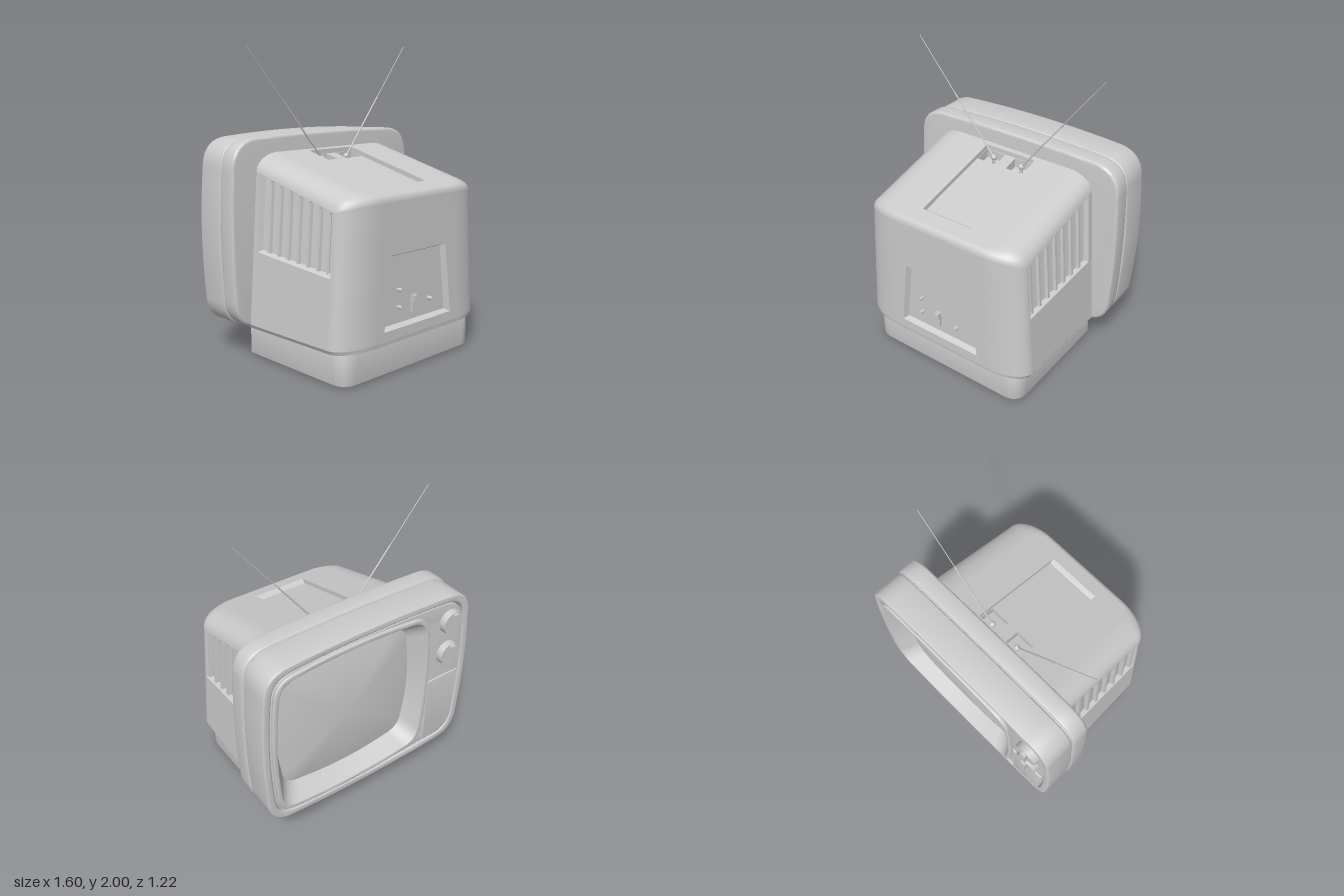
import * as THREE from 'three';
import { toCreasedNormals } from 'three/addons/utils/BufferGeometryUtils.js';

const grey = new THREE.MeshStandardMaterial({ color: 0xcccccc, side: THREE.DoubleSide });
const V2 = (x, y) => new THREE.Vector2(x, y);
const lerp = THREE.MathUtils.lerp;

export function createModel() {
  const model = new THREE.Group();
  const add = (name, geo, parent = model) => {
    const mesh = new THREE.Mesh(geo, grey);
    mesh.name = name;
    parent.add(mesh);
    return mesh;
  };

  // Surface through rows of [x, y, z] points
  function loft(rows, closed = false) {
    const n = rows[0].length, index = [];
    for (let r = 0; r < rows.length - 1; r++) {
      for (let i = 0; i < (closed ? n : n - 1); i++) {
        const a = r * n + i, b = r * n + (i + 1) % n;
        index.push(a, b, a + n, b, b + n, a + n);
      }
    }
    const geo = new THREE.BufferGeometry();
    geo.setAttribute('position', new THREE.Float32BufferAttribute(rows.flat(2), 3));
    geo.setIndex(index);
    return toCreasedNormals(geo, 0.6);
  }

  // Flat panel with sunken recesses; map(u, v, depth) places it in space
  function panel(name, outline, recesses, map, parent) {
    const shape = new THREE.Shape(outline.map(p => V2(...p)));
    for (const r of recesses) shape.holes.push(new THREE.Path(r.outer.map(p => V2(...p))));
    const geo = new THREE.ShapeGeometry(shape), pos = geo.attributes.position;
    for (let i = 0; i < pos.count; i++) pos.setXYZ(i, ...map(pos.getX(i), pos.getY(i), 0));
    geo.computeVertexNormals();
    add(name, geo, parent);
    for (const r of recesses) {
      const inner = r.inner ?? r.outer;
      add(r.name + 'Walls', loft([r.outer.map(p => map(...p, 0)), inner.map(p => map(...p, r.depth))], true), parent);
      panel(r.name + 'Floor', inner, r.holes ?? [], (u, v, d) => map(u, v, d + r.depth), parent);
    }
  }
  const rect = (x0, x1, y0, y1) => [[x0, y0], [x1, y0], [x1, y1], [x0, y1]];

  // Rounded rectangle whose sides bow outward by b
  function bowed(x0, x1, y0, y1, r, b) {
    const cx = (x0 + x1) / 2, cy = (y0 + y1) / 2, s = new THREE.Shape();
    s.moveTo(x1 - b, y0 + r);
    s.quadraticCurveTo(x1 + b, cy, x1 - b, y1 - r);
    s.quadraticCurveTo(x1 - b * 1.2, y1 - b * 1.2, x1 - r, y1 - b);
    s.quadraticCurveTo(cx, y1 + b, x0 + r, y1 - b);
    s.quadraticCurveTo(x0 + b * 1.2, y1 - b * 1.2, x0 + b, y1 - r);
    s.quadraticCurveTo(x0 - b, cy, x0 + b, y0 + r);
    s.quadraticCurveTo(x0 + b * 1.2, y0 + b * 1.2, x0 + r, y0 + b);
    s.quadraticCurveTo(cx, y0 - b, x1 - r, y0 + b);
    s.quadraticCurveTo(x1 - b * 1.2, y0 + b * 1.2, x1 - b, y0 + r);
    return s;
  }
  function slab(name, shape, z0, z1, bevel = 0, hole) {
    if (hole) shape.holes.push(hole);
    const geo = new THREE.ExtrudeGeometry(shape, {
      depth: z1 - z0 - 2 * bevel, bevelEnabled: bevel > 0, bevelSize: bevel, bevelThickness: bevel,
      bevelOffset: -bevel, bevelSegments: 3, curveSegments: 14
    });
    geo.translate(0, 0, z0 + bevel);
    return add(name, toCreasedNormals(geo, 0.6));
  }

  // Rear housing: sloping roof, tapering sides, broad rounded corners
  const housing = new THREE.Group();
  housing.name = 'rearHousing';
  model.add(housing);
  const roof = z => 1.274 - 0.25 * z;
  const halfW = (y, z) => 0.675 - 0.07 * (y - 0.22) - 0.03 * (z + 0.22);
  const H = Math.PI / 2, zBack = -0.25, zSide = 0.475, zRear = 0.605;
  function point(z0, s, a, low) {
    const k = 1 - Math.cos(a);
    const z = z0 + (0.13 - 0.03 * k) * Math.sin(s);
    const y = low ?? roof(z) - (0.11 - 0.07 * Math.sin(s)) * (1 - Math.sin(a));
    return [halfW(y, z) - 0.26 * (1 - Math.cos(s)) - 0.16 * k * Math.cos(s), y, z];
  }
  const flip = p => [-p[0], p[1], p[2]];
  const corner = (a, low) => Array.from({ length: 13 }, (_, i) => point(zSide, i / 12 * H, a, low));
  function loop(a, low) {
    const half = [point(zBack, 0, a, low), ...corner(a, low)];
    return [...half, ...half.map(flip).reverse()];
  }
  add('roofEdge', loft([0, 1, 2, 3, 4, 5, 6].map(i => loop(i / 6 * H))), housing);
  add('lowerEdge', loft([loop(0.45, 0.215), loop(0, 0.24)]), housing);
  panel('underside', loop(0.45, 0.215).map(p => [p[0], p[2]]), [], (x, z) => [x, 0.215, z], housing);

  // Roof with a shallow tray and two aerial pockets
  panel('roof', loop(H).map(p => [p[0], p[2]]), [{
    name: 'tray', outer: rect(-0.19, 0.19, -0.19, 0.48), inner: rect(-0.19, 0.19, -0.19, 0.45), depth: 0.03,
    holes: [-1, 1].map(s => ({
      name: 'aerialPocket', outer: rect(s * 0.04, s * 0.186, -0.186, -0.08), depth: 0.06
    }))
  }], (x, z, d) => [x, roof(z) - d, z], housing);

  // Rear wall with the sunken socket panel
  const low = point(zSide, H, 0, 0.24), high = point(zSide, H, 0);
  panel('rearWall', [low, high, flip(high), flip(low)].map(p => [p[0], p[1]]), [{
    name: 'socketPanel', depth: 0.035,
    outer: [[-0.31, 0.3], [0.31, 0.3], [0.25, 0.76], [-0.25, 0.76]],
    inner: [[-0.285, 0.318], [0.285, 0.318], [0.235, 0.745], [-0.235, 0.745]]
  }], (x, y, d) => [x, y, zRear - d], housing);
  for (const [x, y, r] of [[-0.155, 0.53, 0.011], [-0.155, 0.42, 0.011], [0.13, 0.42, 0.014]]) {
    add('socket', new THREE.CylinderGeometry(r, r, 0.04, 16).rotateX(H), housing).position.set(x, y, 0.585);
  }
  add('slideSwitch', new THREE.BoxGeometry(0.035, 0.11, 0.02), housing).position.set(-0.02, 0.42, 0.575);
  add('switchLever', new THREE.BoxGeometry(0.03, 0.04, 0.03), housing).position.set(-0.02, 0.45, 0.585);

  // Side walls, corners and louvred vents
  for (const side of [1, -1]) {
    const m = p => [side * p[0], p[1], p[2]];
    add('cornerWall', loft([corner(0, 0.24).map(m), corner(0).map(m)]), housing);
    const map = (z, y, d) => [side * (halfW(y, z) - d), y, z];
    panel('sideWall', [[zBack, 0.24], [zSide, 0.24], [zSide, roof(zSide) - 0.11], [zBack, roof(zBack) - 0.11]], [{
      name: 'vent', depth: 0.038,
      outer: [[-0.18, 0.715], [0.47, 0.66], [0.47, roof(0.47) - 0.115], [-0.18, roof(-0.18) - 0.115]],
      inner: [[-0.165, 0.73], [0.455, 0.68], [0.455, roof(0.455) - 0.13], [-0.165, roof(-0.165) - 0.13]]
    }], map, housing);
    const rows = [[], []];
    for (let i = 0; i < 7; i++) {
      for (const [f, d] of [[0, 0.006], [0.22, 0.006], [0.27, 0.034], [0.96, 0.024]]) {
        const z = lerp(0.45, -0.16, (i + f) / 7);
        rows[0].push(map(z, lerp(0.73, 0.68, (z + 0.165) / 0.62), d));
        rows[1].push(map(z, roof(z) - 0.13, d));
      }
    }
    add('ventLouvres', loft(rows), housing);
  }

  // Front cabinet: two shells with a narrow seam
  slab('rearShell', bowed(-0.8, 0.8, 0.2, 1.44, 0.22, 0.012), -0.344, -0.22, 0.018);
  slab('seam', bowed(-0.785, 0.785, 0.21, 1.425, 0.21, 0.012), -0.37, -0.33);
  slab('frontShell', bowed(-0.8, 0.8, 0.18, 1.44, 0.22, 0.02), -0.56, -0.352, 0.012,
    bowed(-0.75, 0.75, 0.23, 1.39, 0.19, 0.02));
  const opening = () => bowed(-0.435, 0.705, 0.28, 1.345, 0.16, 0.022);
  slab('facePlate', bowed(-0.742, 0.742, 0.238, 1.382, 0.185, 0.02), -0.55, -0.53, 0.004, opening());
  slab('screenFrame', bowed(-0.465, 0.735, 0.25, 1.375, 0.18, 0.022), -0.57, -0.53, 0.006, opening());

  // Sloping surround and bulging picture tube
  const at = (shape, z) => shape.getPoints(14).slice(0, -1).map(p => [p.x, p.y, z]);
  const tube = at(bowed(-0.38, 0.645, 0.345, 1.28, 0.17, 0.03), -0.455);
  add('screenSurround', loft([at(opening(), -0.565), tube], true));
  const rings = [1, 0.85, 0.7, 0.5, 0.3, 0.15, 0.001].map(k => tube.map(([x, y]) =>
    [lerp(0.1325, x, k), lerp(0.8125, y, k), -0.455 - 0.05 * (1 - k * k)]));
  add('screen', loft(rings, true));

  // Tuning knobs and control door
  for (const y of [1.222, 0.975]) {
    const knob = new THREE.Group();
    knob.name = 'knob';
    knob.position.set(-0.62, y, 0);
    model.add(knob);
    add('knobDisc', toCreasedNormals(new THREE.CylinderGeometry(0.08, 0.084, 0.045, 40).rotateX(-H), 0.6), knob).position.z = -0.572;
    add('knobGrip', new THREE.BoxGeometry(0.036, 0.15, 0.03), knob).position.z = -0.6;
  }
  const door = new THREE.Shape();
  door.moveTo(-0.475, 0.78);
  door.lineTo(-0.733, 0.78);
  door.lineTo(-0.72, 0.42);
  door.quadraticCurveTo(-0.71, 0.275, -0.6, 0.268);
  door.lineTo(-0.475, 0.262);
  slab('controlDoor', door, -0.56, -0.54, 0.004);

  // Plinth and feet
  const plinth = new THREE.Shape();
  plinth.moveTo(-0.6, 0.315);
  plinth.lineTo(-0.6, -0.45);
  plinth.quadraticCurveTo(-0.6, -0.56, -0.49, -0.56);
  plinth.lineTo(0.49, -0.56);
  plinth.quadraticCurveTo(0.6, -0.56, 0.6, -0.45);
  plinth.lineTo(0.6, 0.315);
  const base = slab('plinth', plinth, 0.01, 0.22, 0.006);
  base.rotation.x = -H;
  for (const x of [-0.43, 0.43]) for (const z of [-0.2, 0.41]) {
    add('foot', new THREE.CylinderGeometry(0.035, 0.035, 0.02, 24)).position.set(x, 0.01, z);
  }

  // Telescopic aerials
  function rod(name, a, b, r0, r1) {
    const dir = b.clone().sub(a);
    const mesh = add(name, new THREE.CylinderGeometry(r1, r0, dir.length(), 10));
    mesh.position.copy(a).addScaledVector(dir, 0.5);
    mesh.quaternion.setFromUnitVectors(new THREE.Vector3(0, 1, 0), dir.normalize());
  }
  for (const [x, tipX, tipY] of [[-0.11, -0.71, 1.98], [0.11, 0.68, 2]]) {
    const foot = new THREE.Vector3(x, 1.265, -0.155), tip = new THREE.Vector3(tipX, tipY, -0.155);
    const mid = foot.clone().lerp(tip, 0.53);
    rod('aerialLower', foot, mid, 0.006, 0.005);
    rod('aerialUpper', mid, tip, 0.003, 0.0025);
    add('aerialPivot', new THREE.SphereGeometry(0.02, 20, 14)).position.copy(foot);
    add('aerialHinge', new THREE.CylinderGeometry(0.012, 0.012, 0.06, 16)).position.set(x, 1.24, -0.155);
  }
  return model;
}
